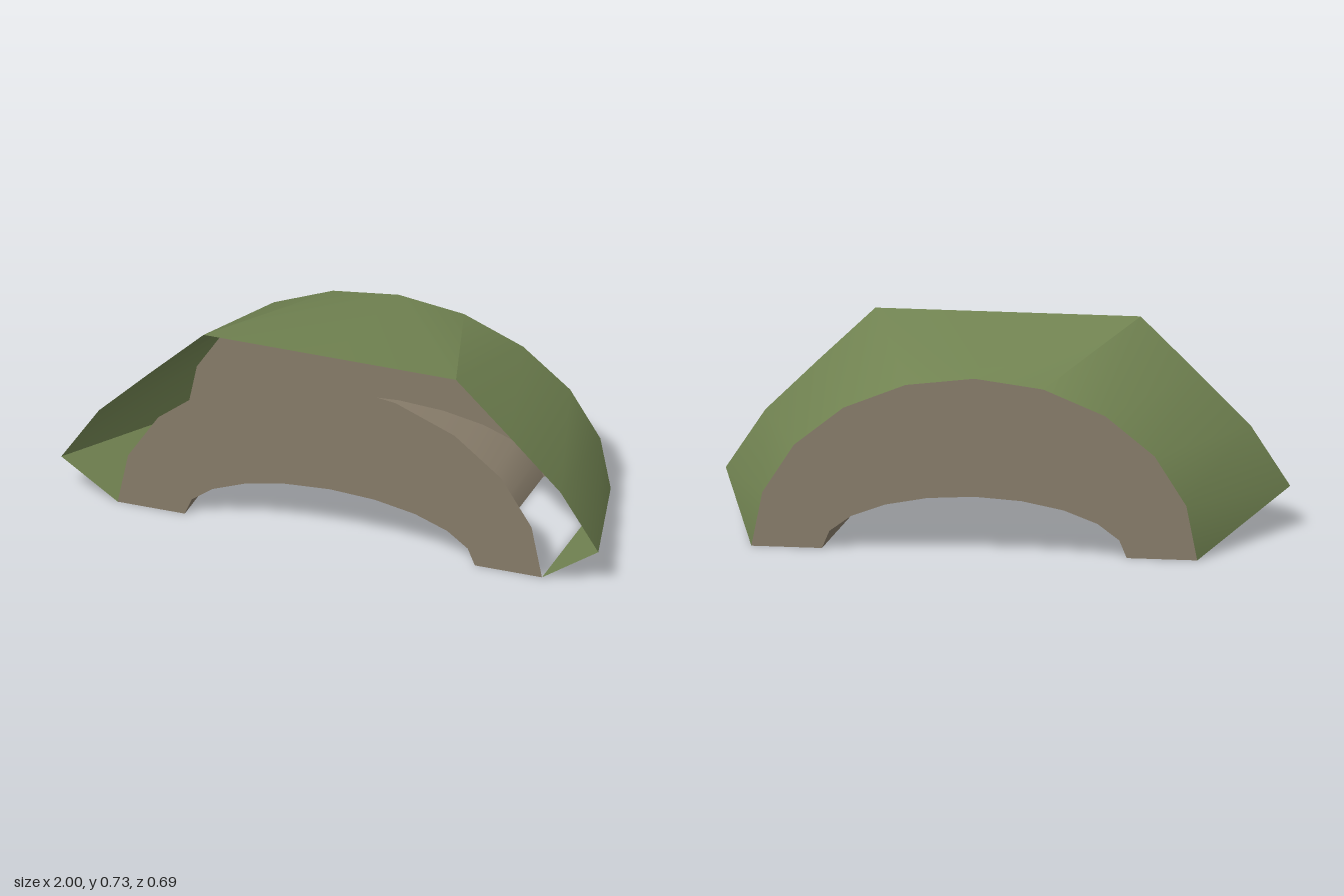
import * as THREE from 'three';

const D = 0.345;   // half depth
const N = 10;      // arch segments

// Points of a half ellipse, running from +x over the top to -x
const arc = (rx, ry) => Array.from({ length: N + 1 }, (_, i) => {
  const a = Math.PI * i / N;
  return [rx * Math.cos(a), ry * Math.sin(a)];
});

// Smooth sheet between a back outline and a front outline
function loft(back, front) {
  const pos = [], index = [], n = back.length;
  back.forEach(([x, y]) => pos.push(x, y, -D));
  front.forEach(([x, y]) => pos.push(x, y, D));
  for (let i = 0; i < n - 1; i++) {
    const a = i, b = i + 1, c = n + i, d = n + i + 1;
    // the diagonals are mirrored about the middle
    if (i < (n - 1) / 2) index.push(a, b, c, b, d, c);
    else index.push(a, b, d, a, d, c);
  }
  const geo = new THREE.BufferGeometry();
  geo.setAttribute('position', new THREE.Float32BufferAttribute(pos, 3));
  geo.setIndex(index);
  geo.computeVertexNormals();
  return geo;
}

export function createModel() {
  const group = new THREE.Group();
  const green = new THREE.MeshStandardMaterial({ color: 0x728452, side: THREE.DoubleSide });
  green.name = 'olive green';
  const brown = new THREE.MeshStandardMaterial({ color: 0x857a68, side: THREE.DoubleSide });
  brown.name = 'grey brown';
  const add = (name, geo, mat) => {
    const mesh = new THREE.Mesh(geo, mat);
    mesh.name = name;
    group.add(mesh);
    return mesh;
  };

  const outer = arc(0.79, 0.62), inner = arc(0.54, 0.2);

  // Flared shell: round at the back, angular at the front
  const half = [[1, 0.14], [0.86, 0.35], [0.67, 0.535], [0.47, 0.725], [0.47, 0.725]];
  const front = [...half, [0, 0.725], ...half.map(([x, y]) => [-x, y]).reverse()];
  add('flaredShell', loft(outer, front), green);

  // Triangular flaps under the two lower edges of the shell
  for (const s of [1, -1]) {
    const geo = new THREE.BufferGeometry();
    const back = [s * 0.79, 0, -D], leg = [s * 0.79, 0, D], tip = [s, 0.14, D];
    const corners = s > 0 ? [tip, leg, back] : [tip, back, leg];
    geo.setAttribute('position', new THREE.Float32BufferAttribute(corners.flat(), 3));
    geo.computeVertexNormals();
    add(s > 0 ? 'leftFlap' : 'rightFlap', geo, green);
  }

  // Arched end plates
  const outline = [...outer, ...inner.slice().reverse()].map(([x, y]) => new THREE.Vector2(x, y));
  const plate = new THREE.ShapeGeometry(new THREE.Shape(outline));
  add('frontPlate', plate, brown).position.z = D;
  const rear = add('backPlate', plate, brown);
  rear.position.z = -D;
  rear.rotation.y = Math.PI;

  // Underside of the arch, facing down
  const under = loft(inner, inner);
  under.setIndex(Array.from(under.index.array).reverse());
  under.computeVertexNormals();
  add('archUnderside', under, brown);

  return group;
}
